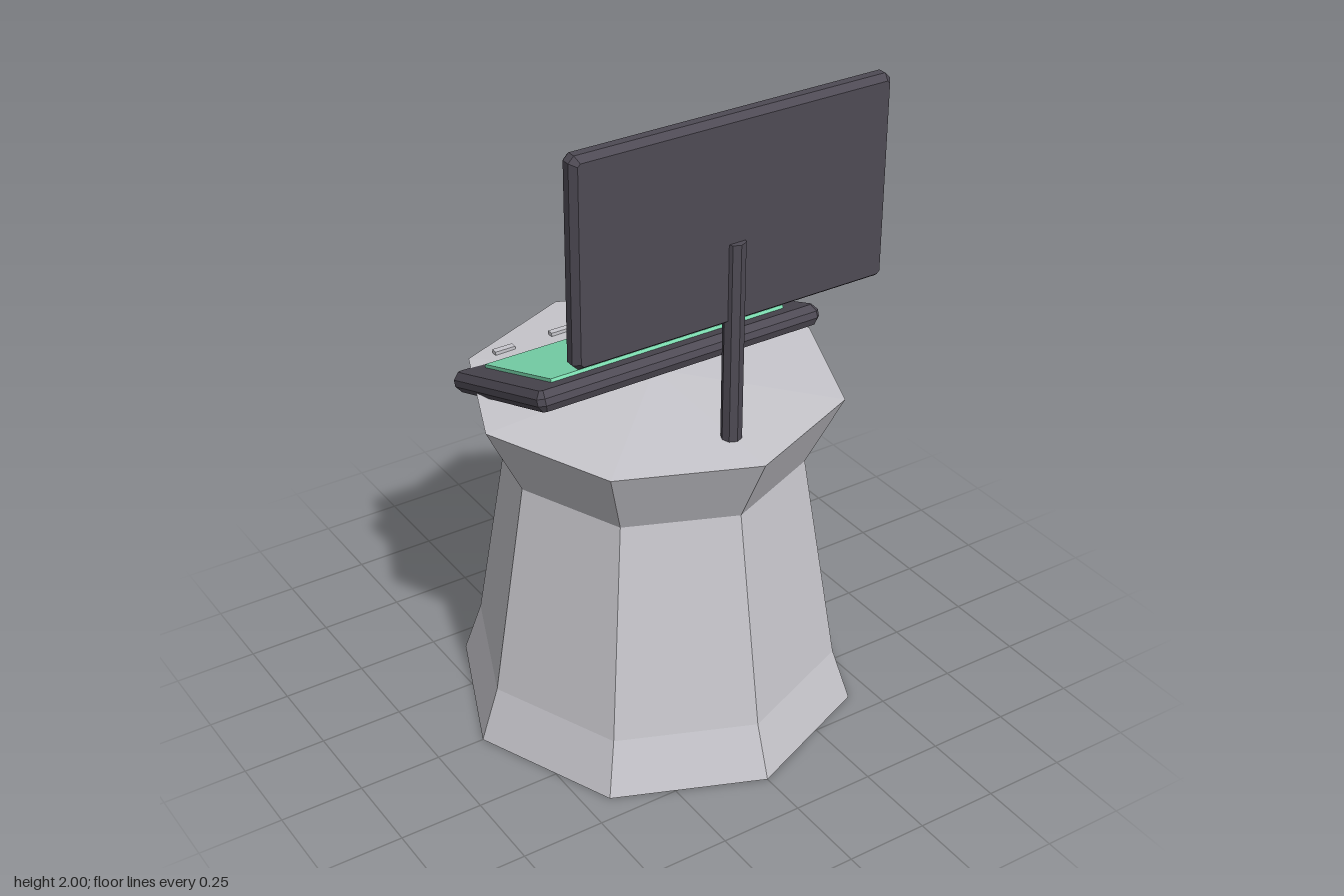
import * as THREE from 'three';

const material = (name, color) => {
  const m = new THREE.MeshStandardMaterial({ color });
  m.name = name;
  return m;
};

// Split the faces so every facet shades flat
function faceted(geometry) {
  const g = geometry.index ? geometry.toNonIndexed() : geometry;
  g.computeVertexNormals();
  return g;
}

// Slab with chamfered edges and clipped corners, centred, thickness along z
function slabGeometry(width, height, depth) {
  const bevel = 0.015, chamfer = 0.02, cut = 0.008;
  const x = width / 2 - bevel, y = height / 2 - bevel;
  const corners = [
    [x - cut, -y], [x, -y + cut], [x, y - cut], [x - cut, y],
    [-x + cut, y], [-x, y - cut], [-x, -y + cut], [-x + cut, -y],
  ];
  const shape = new THREE.Shape(corners.map(([a, b]) => new THREE.Vector2(a, b)));
  const g = new THREE.ExtrudeGeometry(shape, {
    depth: depth - 2 * chamfer, bevelSize: bevel, bevelThickness: chamfer, bevelSegments: 1,
  });
  return g.center();
}

export function createModel() {
  const model = new THREE.Group();
  model.name = 'consoleDesk';
  const stone = material('lightGrey', 0xc8c7cd);
  const casing = material('darkCasing', 0x4e4a54);
  const glass = material('greenScreen', 0x80e3b6);

  const add = (parent, name, geometry, mat, x = 0, y = 0, z = 0) => {
    const mesh = new THREE.Mesh(geometry, mat);
    mesh.name = name;
    mesh.position.set(x, y, z);
    parent.add(mesh);
    return mesh;
  };

  // Eight-sided pedestal with a flared head and a shallow peaked top
  const profile = [[0, 0], [0.602, 0], [0.547, 0.165], [0.44, 0.825], [0.547, 1.043], [0, 1.075]];
  const points = profile.map(([r, y]) => new THREE.Vector2(r, y));
  add(model, 'pedestal', faceted(new THREE.LatheGeometry(points, 8)), stone);

  // Upright monitor, screen facing the back
  const monitor = new THREE.Group();
  monitor.name = 'monitor';
  monitor.position.set(0, 1.703, 0.363);
  model.add(monitor);
  add(monitor, 'monitorCasing', slabGeometry(0.98, 0.595, 0.065), casing);
  add(monitor, 'monitorScreen', new THREE.BoxGeometry(0.87, 0.495, 0.02), glass, 0, 0, -0.032);

  // Pole carrying the monitor
  add(model, 'monitorPole', faceted(new THREE.CylinderGeometry(0.03, 0.03, 0.605, 8)), casing, 0, 1.343, 0.385);

  // Tilted control panel, sloping down to the back
  const panel = new THREE.Group();
  panel.name = 'controlPanel';
  panel.position.set(0, 1.1, -0.092);
  panel.rotation.x = -Math.PI / 2 - THREE.MathUtils.degToRad(20);
  model.add(panel);
  add(panel, 'panelCasing', slabGeometry(0.93, 0.54, 0.06), casing);
  add(panel, 'panelScreen', new THREE.BoxGeometry(0.77, 0.398, 0.02), glass, 0, 0, 0.03);

  // Row of small raised keys behind the panel
  for (const x of [-0.282, -0.094, 0.094, 0.282]) {
    const rim = 1.075 - 0.06 * Math.hypot(x, 0.365);
    add(model, 'key', new THREE.BoxGeometry(0.065, 0.02, 0.02), stone, x, rim, -0.365);
  }

  // Small studs on the two rear faces of the flared head
  for (const side of [-1, 1]) {
    const stud = add(model, 'stud', faceted(new THREE.ConeGeometry(0.014, 0.03, 4)), stone, side * 0.295, 0.935, -0.372);
    stud.rotation.y = side * -Math.PI / 8;
  }
  return model;
}
